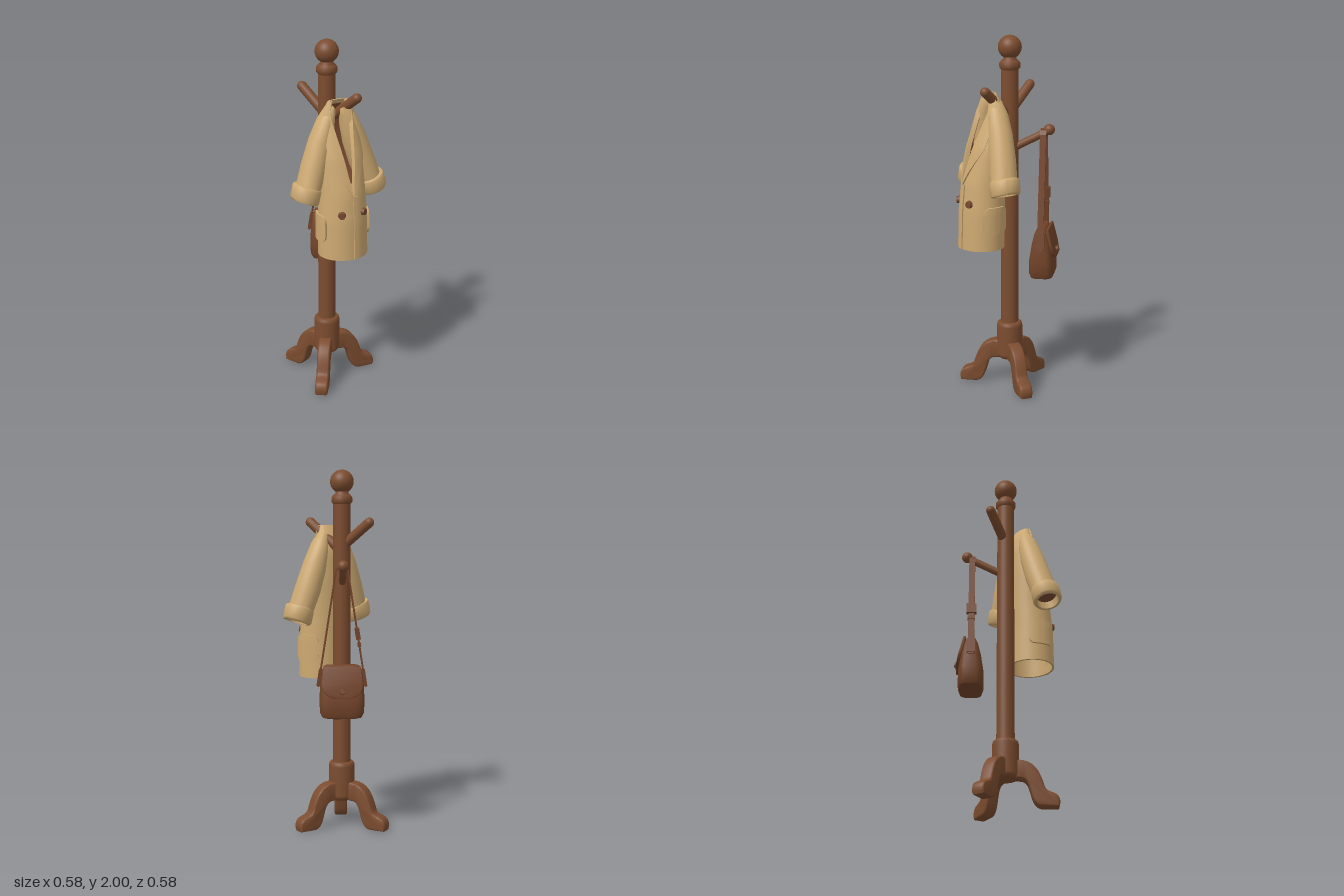
import * as THREE from 'three';
import { toCreasedNormals } from 'three/addons/utils/BufferGeometryUtils.js';

const paint = (name, color) => Object.assign(new THREE.MeshStandardMaterial({ color }), { name });
const V = (x, y, z) => new THREE.Vector3(x, y, z);
const lerp = THREE.MathUtils.lerp;

// Table lookup with linear interpolation; each row starts with its key
function sample(rows, k) {
  let i = 0;
  while (i < rows.length - 2 && k > rows[i + 1][0]) i++;
  const a = rows[i], b = rows[i + 1];
  const t = THREE.MathUtils.clamp((k - a[0]) / (b[0] - a[0]), 0, 1);
  return a.map((v, j) => lerp(v, b[j], t));
}

// Solid skinned over closed rings with an even number of points, capped at both ends
function loft(rings, crease = 0.7) {
  const n = rings[0].length, pos = [], idx = [];
  rings.forEach(r => r.forEach(p => pos.push(p.x, p.y, p.z)));
  const quad = (a, b, c, d) => idx.push(a, b, c, a, c, d);
  for (let j = 0; j < rings.length - 1; j++)
    for (let i = 0; i < n; i++) {
      const k = (i + 1) % n;
      quad(j * n + i, j * n + k, (j + 1) * n + k, (j + 1) * n + i);
    }
  const top = (rings.length - 1) * n;
  for (let i = 0; i < n / 2 - 1; i++) {
    quad(n - 1 - i, n - 2 - i, i + 1, i);
    quad(top + i, top + i + 1, top + n - 2 - i, top + n - 1 - i);
  }
  // Turn the faces outward whichever way the rings run
  const all = rings.flat();
  let volume = 0;
  for (let i = 0; i < idx.length; i += 3)
    volume += all[idx[i]].dot(V(0, 0, 0).crossVectors(all[idx[i + 1]], all[idx[i + 2]]));
  if (volume < 0) idx.reverse();
  const g = new THREE.BufferGeometry();
  g.setAttribute('position', new THREE.Float32BufferAttribute(pos, 3));
  g.setIndex(idx);
  return toCreasedNormals(g, crease);
}

export function createModel() {
  const model = new THREE.Group();
  const wood = paint('wood brown', 0x7c4c2f), cloth = paint('coat tan', 0xcda972);
  const leather = paint('leather brown', 0x724329), lining = paint('lining brown', 0x784931);
  const add = (parent, name, geo, mat, x = 0, y = 0, z = 0) => {
    const m = new THREE.Mesh(geo, mat);
    m.name = name;
    m.position.set(x, y, z);
    parent.add(m);
    return m;
  };
  const lathe = pts => new THREE.LatheGeometry(pts.map(p => new THREE.Vector2(...p)), 32);

  // ---- Stand ----
  const stand = new THREE.Group();
  stand.name = 'stand';
  stand.position.set(-0.014, 0, -0.008);
  model.add(stand);
  add(stand, 'pole', new THREE.CylinderGeometry(0.048, 0.05, 1.64, 32), wood, 0, 1.02);
  add(stand, 'socket', lathe([[0, 0.15], [0.058, 0.152], [0.07, 0.165], [0.073, 0.18], [0.073, 0.345],
    [0.069, 0.362], [0.06, 0.37], [0, 0.37]]), wood);
  add(stand, 'collar', lathe([[0, 1.808], [0.045, 1.81], [0.057, 1.824], [0.058, 1.848], [0.048, 1.862],
    [0.036, 1.87], [0.034, 1.9], [0, 1.9]]), wood);
  add(stand, 'finial', new THREE.SphereGeometry(0.065, 32, 20), wood, 0, 1.935);

  // Curved legs, a third of a turn apart
  const legShape = new THREE.Shape();
  legShape.moveTo(0.04, 0.245);
  legShape.bezierCurveTo(0.15, 0.26, 0.175, 0.18, 0.198, 0.105);
  legShape.bezierCurveTo(0.21, 0.07, 0.25, 0.075, 0.268, 0.055);
  legShape.quadraticCurveTo(0.282, 0.035, 0.274, 0.01);
  legShape.lineTo(0.19, 0.01);
  legShape.bezierCurveTo(0.13, 0.02, 0.155, 0.15, 0.09, 0.16);
  legShape.lineTo(0.04, 0.165);
  const legGeo = toCreasedNormals(new THREE.ExtrudeGeometry(legShape, { depth: 0.05, curveSegments: 10,
    bevelThickness: 0.011, bevelSize: 0.01, bevelSegments: 3 }).translate(0, 0, -0.025), 0.7);
  for (let i = 0; i < 3; i++)
    add(stand, 'leg', legGeo, wood).rotation.y = -0.05 - i * Math.PI * 2 / 3;

  // Slanted pegs
  const peg = (from, to, r) => {
    const d = to.clone().sub(from);
    const m = add(model, 'peg', new THREE.CapsuleGeometry(r, d.length(), 6, 16), wood);
    m.position.copy(from).addScaledVector(d, 0.5);
    m.quaternion.setFromUnitVectors(V(0, 1, 0), d.normalize());
  };
  peg(V(-0.015, 1.55, -0.01), V(0.075, 1.71, 0.172), 0.027);
  peg(V(-0.015, 1.58, -0.01), V(-0.09, 1.715, -0.16), 0.027);
  peg(V(-0.015, 1.37, -0.01), V(0.106, 1.485, -0.195), 0.021);
  add(model, 'pegKnob', new THREE.SphereGeometry(0.031, 20, 14), wood, 0.105, 1.488, -0.193);

  // ---- Coat ----
  const coat = new THREE.Group();
  coat.name = 'coat';
  coat.position.set(-0.005, 0, 0.13);
  coat.rotation.y = 0.07;
  model.add(coat);
  // height, half width, back z, front z
  const profile = [[0.84, 0.139, -0.09, 0.166], [1.05, 0.138, -0.09, 0.16], [1.2, 0.13, -0.095, 0.146],
    [1.4, 0.128, -0.1, 0.098], [1.55, 0.108, -0.098, 0.045], [1.64, 0.085, -0.08, 0.018], [1.695, 0.06, -0.045, 0.0]];
  const section = y => {
    const [, hw, zb, zf] = sample(profile, y);
    return { hw, zm: (zb + zf) / 2, hd: (zf - zb) / 2 };
  };
  const surface = (a, y, off) => {
    const s = section(y);
    return V((s.hw + off) * Math.sin(a), y, s.zm + (s.hd + off) * Math.cos(a));
  };
  const angleAt = (x, y) => Math.asin(Math.min(0.97, x / section(y).hw));
  // half width of the neck opening
  const gap = y => sample([[0.84, 0.001], [1.2, 0.001], [1.6, 0.058], [1.64, 0.058], [1.695, 0.043]], y)[1];
  // Curved sheet following the coat body between two heights and two angles
  const sheet = (name, mat, y0, y1, range, inner, outer, rows = 16, cols = 14) => {
    const rings = [];
    for (let j = 0; j <= rows; j++) {
      const y = lerp(y0, y1, j / rows), [a, b] = range(y), out = [], back = [];
      for (let i = 0; i <= cols; i++) {
        const t = lerp(a, b, i / cols);
        out.push(surface(t, y, outer));
        back.unshift(surface(t, y, inner));
      }
      rings.push([...out, ...back]);
    }
    return add(coat, name, loft(rings), mat);
  };
  const around = y => { const a = angleAt(gap(y), y); return [a, Math.PI * 2 - a]; };
  sheet('coatBody', cloth, 0.84, 1.695, around, -0.012, 0, 28, 48);
  sheet('coatLining', lining, 1.2, 1.67, y => around(y).map((a, i) => a + (i ? -0.08 : 0.08)), -0.017, -0.011, 16, 32);
  sheet('placket', cloth, 0.842, 1.2, () => [-0.02, 0.17], -0.004, 0.007, 12, 4);

  for (const s of [1, -1]) {
    // Lapels widen from the closure and narrow again at the neck
    sheet('lapel', cloth, 1.2, 1.695, y => {
      const w = sample([[1.2, 0.004], [1.4, 0.07], [1.55, 0.045], [1.695, 0.02]], y)[1];
      return [s * angleAt(gap(y), y), s * angleAt(gap(y) + w, y)];
    }, -0.006, 0.011, 18, 6);
    // Side pockets with rounded corners
    sheet('pocket', cloth, 0.935, 1.085, y => {
      const e = Math.abs((y - 1.01) / 0.075), k = 0.2 * e ** 6;
      return [s * (1.18 + k), s * (2.35 - k)];
    }, -0.004, 0.013, 12, 12);
    // Buttons
    const a = s * angleAt(0.066, 1.1), c = section(1.1);
    const b = add(coat, 'button', new THREE.CylinderGeometry(0.018, 0.022, 0.018, 16), lining);
    b.position.copy(surface(a, 1.1, 0.006));
    b.quaternion.setFromUnitVectors(V(0, 1, 0), V(Math.sin(a) / c.hw, 0, Math.cos(a) / c.hd).normalize());

    // Sleeves: centre x, y, z, radius across, radius in depth, tilt
    const tube = (name, rows, mat) => add(coat, name, loft(rows.map(([x, y, z, rx, rz, tilt]) =>
      Array.from({ length: 28 }, (_, i) => {
        const t = i / 28 * Math.PI * 2, u = rx * Math.cos(t);
        return V(s * (x + u * Math.cos(tilt)), y + u * Math.sin(tilt), z + rz * Math.sin(t));
      })), 0.9), mat);
    tube('sleeve', [[0.03, 1.66, -0.022, 0.022, 0.022, 0.95], [0.045, 1.635, -0.028, 0.038, 0.042, 0.9],
      [0.07, 1.57, -0.03, 0.055, 0.06, 0.7], [0.105, 1.47, -0.028, 0.068, 0.069, 0.5],
      [0.15, 1.34, -0.02, 0.072, 0.074, 0.4], [0.19, 1.23, -0.01, 0.068, 0.074, 0.35]], cloth);
    tube('cuff', [[0.192, 1.25, -0.01, 0.062, 0.066, 0.35], [0.194, 1.246, -0.01, 0.076, 0.079, 0.35],
      [0.197, 1.236, -0.009, 0.081, 0.083, 0.35], [0.213, 1.175, -0.007, 0.081, 0.083, 0.35],
      [0.216, 1.165, -0.006, 0.074, 0.077, 0.35], [0.216, 1.164, -0.006, 0.06, 0.062, 0.35],
      [0.205, 1.205, -0.008, 0.054, 0.056, 0.35]], cloth);
    tube('cuffLining', [[0.206, 1.201, -0.008, 0.053, 0.055, 0.35], [0.203, 1.21, -0.008, 0.053, 0.055, 0.35]], lining);
  }

  // ---- Shoulder bag ----
  const bag = new THREE.Group();
  bag.name = 'bag';
  bag.position.set(0.094, 0, -0.166);
  bag.rotation.y = 2.58;
  model.add(bag);
  const rounded = v => Math.sign(v) * Math.abs(v) ** 0.5;
  const bagRings = [[0.657, 0.085, 0.045], [0.664, 0.108, 0.062], [0.69, 0.12, 0.071], [0.76, 0.123, 0.07],
    [0.85, 0.118, 0.056], [0.915, 0.11, 0.04], [0.94, 0.1, 0.028], [0.95, 0.085, 0.016]];
  add(bag, 'bagBody', loft(bagRings.map(([y, hx, hz]) => Array.from({ length: 40 }, (_, i) => {
    const t = i / 40 * Math.PI * 2;
    return V(hx * rounded(Math.cos(t)), y, hz * rounded(Math.sin(t)));
  }))), leather);

  // Flap with rounded lower corners, leaning with the front
  const flapShape = new THREE.Shape();
  flapShape.moveTo(-0.098, 0);
  flapShape.lineTo(-0.108, -0.09);
  flapShape.quadraticCurveTo(-0.105, -0.155, -0.04, -0.165);
  flapShape.lineTo(0.04, -0.165);
  flapShape.quadraticCurveTo(0.105, -0.155, 0.108, -0.09);
  flapShape.lineTo(0.098, 0);
  const flapGeo = new THREE.ExtrudeGeometry(flapShape, { depth: 0.008, bevelThickness: 0.004, bevelSize: 0.004, bevelSegments: 2 });
  add(bag, 'flap', toCreasedNormals(flapGeo, 0.6), leather, 0, 0.94, 0.032).rotation.x = -0.24;
  add(bag, 'clasp', new THREE.CylinderGeometry(0.015, 0.018, 0.018, 16), leather, 0, 0.815, 0.08).rotation.x = Math.PI / 2 - 0.24;

  // Strap looped over the peg
  const half = [[0.134, 0.83], [0.036, 1.465], [0.022, 1.488], [0, 1.497]];
  const inner = [[0, 1.489], [0.017, 1.481], [0.027, 1.462], [0.125, 0.83]];
  const flip = pts => pts.slice().reverse().map(([x, y]) => [-x, y]);
  const outline = [...half, ...flip(half).slice(1), ...flip(inner), ...inner.slice(1)];
  const strapGeo = new THREE.ExtrudeGeometry(new THREE.Shape(outline.map(p => new THREE.Vector2(...p))),
    { depth: 0.034, bevelEnabled: false }).translate(0, 0, -0.017);
  add(bag, 'strap', strapGeo, leather);
  for (const s of [1, -1])
    add(bag, 'strapTab', new THREE.BoxGeometry(0.018, 0.09, 0.046), leather, s * 0.122, 0.88).rotation.z = s * 0.15;
  add(bag, 'buckle', new THREE.BoxGeometry(0.024, 0.06, 0.054), leather, 0.085, 1.12).rotation.z = 0.156;
  add(bag, 'strapKeeper', new THREE.BoxGeometry(0.018, 0.02, 0.042), leather, 0.094, 1.06).rotation.z = 0.156;

  return model;
}
